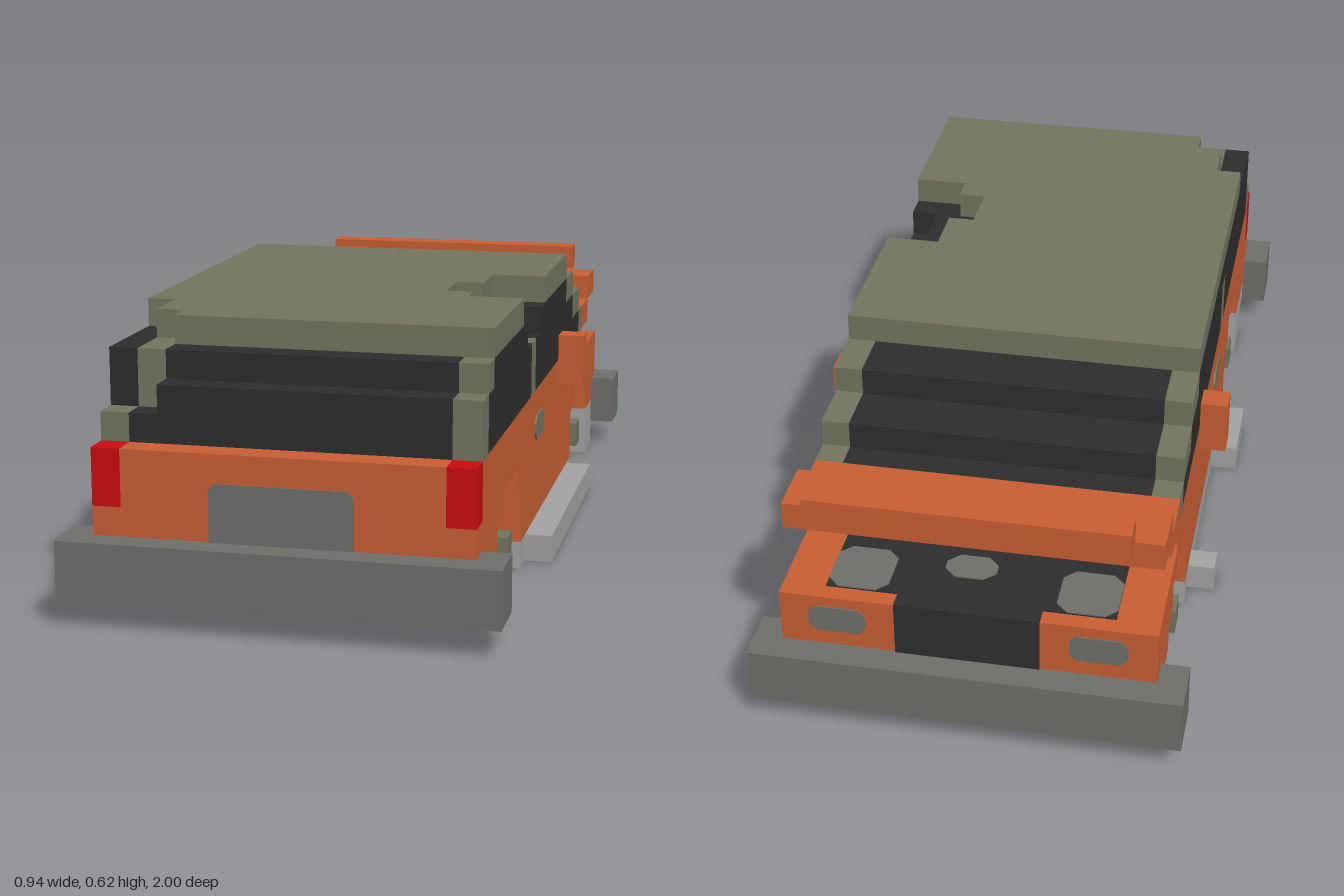
import * as THREE from 'three';

const V = 1 / 16; // one block; all sizes below are in blocks

export function createModel() {
  const car = new THREE.Group();
  car.name = 'blockCar';
  const mat = (name, color) => {
    const m = new THREE.MeshStandardMaterial({ color });
    m.name = name;
    return m;
  };
  const orange = mat('orange paint', 0xc85e33);
  const olive = mat('olive', 0x72755e);
  const dark = mat('dark glass', 0x2d2d2d);
  const grey = mat('bumper grey', 0x6e6e6b);
  const silver = mat('light grey', 0xa3a3a3);
  const red = mat('red lamp', 0xc90c0f);

  const add = (name, m, geo) => {
    const mesh = new THREE.Mesh(geo, m);
    mesh.name = name;
    car.add(mesh);
    return mesh;
  };
  const box = (name, m, x0, x1, y0, y1, z0, z1) => {
    const g = new THREE.BoxGeometry((x1 - x0) * V, (y1 - y0) * V, (z1 - z0) * V);
    g.translate((x0 + x1) / 2 * V, (y0 + y1) / 2 * V, (z0 + z1) / 2 * V);
    return add(name, m, g);
  };
  // same box on both sides of the car
  const pair = (name, m, x0, x1, ...yz) => {
    box(name + 'Left', m, x0, x1, ...yz);
    box(name + 'Right', m, -x1, -x0, ...yz);
  };
  const extrude = (points, depth) => {
    const s = new THREE.Shape(points.map(([a, b]) => new THREE.Vector2(a * V, b * V)));
    return new THREE.ExtrudeGeometry(s, { depth: depth * V, bevelEnabled: false });
  };
  // outline given as (z, y), filling x0 to x1
  const sidePanel = (name, m, points, x0, x1) =>
    add(name, m, extrude(points, x1 - x0).rotateY(-Math.PI / 2).translate(x1 * V, 0, 0));
  // rectangle with clipped corners
  const clipped = (a0, a1, b0, b1, c) => [
    [a0 + c, b0], [a1 - c, b0], [a1, b0 + c], [a1, b1 - c],
    [a1 - c, b1], [a0 + c, b1], [a0, b1 - c], [a0, b0 + c]];

  // underside and chassis
  box('floorPlate', olive, -5.5, 5.5, 0, 0.1, -13, 12);
  box('chassis', silver, -5.5, 5.5, 0.1, 2, -13, 12);
  box('chassisRear', silver, -6.5, 6.5, 0, 2, -14, -13);
  box('chassisFront', silver, -6.5, 6.5, 0, 2, 12, 13);
  box('chassisNose', silver, -6.5, 6.5, 1, 2, 13, 14);
  pair('rearValance', silver, 5.5, 6.5, 0, 2, -13, -12);
  pair('frontValance', silver, 5.5, 6.5, 0, 2, 11, 12);
  pair('sill', silver, 5.5, 6.5, 0, 1, -7, 6);
  box('sideStepLeft', silver, 6.5, 7.5, 0, 1, -6, 5);
  box('sideStepRightRear', silver, -7.5, -6.5, 0, 1, -6, -5);
  box('sideStepRightFront', silver, -7.5, -6.5, 0, 1, 2, 5);

  // bumpers
  box('frontBumper', grey, -7.5, 7.5, 1, 3, 14, 16);
  box('rearBumper', grey, -7.5, 7.5, 1, 3, -16, -14);

  // body core and side panels with stepped wheel arches
  box('bodyCore', orange, -5.5, 5.5, 2, 5, -15, 15);
  box('bodyTop', orange, -5.5, 5.5, 5, 6, -10, 15);
  const outline = [
    [-15, 2], [-12, 2], [-12, 3], [-11, 3], [-11, 4], [-8, 4], [-8, 3], [-7, 3], [-7, 1],
    [6, 1], [6, 3], [7, 3], [7, 4], [10, 4], [10, 3], [11, 3], [11, 2], [15, 2], [15, 4],
    [14, 4], [14, 6], [-10, 6], [-10, 5], [-15, 5]];
  sidePanel('bodySideLeft', orange, outline, 5.5, 6.5);
  sidePanel('bodySideRight', orange, outline, -6.5, -5.5);
  pair('frontLamp', red, 5.5, 6.5, 4, 6, 14, 15);
  pair('mirror', orange, 6.5, 7.5, 5, 7, -4, -3);
  const badge = clipped(1, 3, 4.05, 5, 0.3);
  sidePanel('sideBadgeLeft', olive, badge, 6.5, 6.56);
  sidePanel('sideBadgeRight', olive, badge, -6.56, -6.5);

  // wheels set into the arches
  for (const [end, z] of [['front', 6], ['rear', -12]]) {
    pair(end + 'ArchLower', silver, 5.5, 5.54, 0, 3, z, z + 5);
    pair(end + 'ArchUpper', silver, 5.5, 5.54, 3, 4, z + 1, z + 4);
    pair(end + 'WheelLower', olive, 5.5, 5.6, 0, 2, z, z + 5);
    pair(end + 'WheelUpper', olive, 5.5, 5.6, 2, 3, z + 1, z + 4);
    pair(end + 'Hub', olive, 5.6, 6.5, 1, 2, z + 2, z + 3);
  }
  pair('tyreMarkA', dark, 5.6, 5.65, 1.4, 2, 10.3, 11);
  pair('tyreMarkB', dark, 5.6, 5.65, 1.4, 2, 6, 6.7);
  pair('tyreMarkC', dark, 5.6, 5.65, 1.4, 2.5, -9, -8.3);

  // front plate
  add('frontPlate', grey, extrude(
    [[-2.45, 3], [2.45, 3], [2.45, 4.8], [2.25, 5], [-2.25, 5], [-2.45, 4.8]], 0.05)
    .translate(0, 0, 15 * V));

  // tail panel and engine deck
  box('tailPanel', dark, -2.5, 2.5, 3, 5.05, -15.06, -15);
  for (const s of [1, -1]) {
    add('tailLamp', grey, extrude(clipped(s * 4.5 - 1, s * 4.5 + 1, 3.6, 4.6, 0.25), 0.06)
      .translate(0, 0, -15.06 * V));
  }
  box('engineDeck', dark, -5, 5, 5, 5.05, -14.4, -10);
  box('engineDeckRear', dark, -2.5, 2.5, 5, 5.05, -15, -14.4);
  const patch = (x0, x1, z0, z1) => add('enginePart', grey,
    extrude(clipped(x0, x1, z0, z1, 0.4), 0.05).rotateX(Math.PI / 2).translate(0, 5.1 * V, 0));
  patch(2.9, 5, -14.4, -12.2);
  patch(-5, -2.9, -14.4, -12.2);
  patch(-0.6, 1.2, -13.2, -12);

  // stepped rear wing
  box('wingLower', orange, -6.5, 6.5, 6, 7, -12, -10);
  box('wingMiddle', orange, -6.5, 6.5, 7, 8, -14, -12);
  box('wingTop', orange, -5.5, 5.5, 8, 9, -15, -14);

  // stepped cabin glass between the pillars
  box('glassLow', dark, -5.5, 5.5, 6, 7, -10, 14);
  box('glassMid', dark, -4.5, 5.5, 7, 8, -9, 14);
  box('glassMidCorner', dark, -5.5, -4.5, 7, 8, -9, 12);
  box('glassHigh', dark, -4.5, 5.5, 8, 9, -7, 13);
  box('glassHighCorner', dark, -5.5, -4.5, 8, 9, -7, 11);
  box('innerPillarLow', olive, -5.5, -4.5, 7, 8, 12, 13);
  box('innerPillarHigh', olive, -5.5, -4.5, 8, 9, 11, 13);

  // side windows
  pair('rearSideWindowLow', dark, 5.5, 6.5, 6, 7, -9, 3);
  pair('rearSideWindowMid', dark, 5.5, 6.5, 7, 8, -7, 3);
  pair('frontSideWindow', dark, 5.5, 6.5, 6, 8, 4, 13);
  box('windowTopLeftRear', dark, 5.5, 6.5, 8, 9, -5, 2);
  box('windowTopLeftFront', dark, 5.5, 6.5, 8, 9, 5, 12);
  box('windowTopRight', dark, -6.5, -5.5, 8, 9, -5, 13);

  // pillars
  pair('doorPillar', olive, 5.5, 6.5, 6, 8, 3, 4);
  pair('rearPillarLow', olive, 5.5, 6.5, 6, 7, -10, -9);
  pair('rearPillarMid', olive, 5.5, 6.5, 7, 8, -9, -7);
  pair('rearPillarHigh', olive, 5.5, 6.5, 8, 9, -7, -5);
  pair('frontPillarLow', olive, 5.5, 6.5, 6, 7, 13, 14);
  box('frontPillarMidLeft', olive, 5.5, 6.5, 7, 8, 13, 14);
  box('frontPillarHighLeft', olive, 5.5, 6.5, 8, 9, 12, 13);

  // roof with a side notch and a cut front corner, outline as (x, z)
  add('roof', olive, extrude([
    [-6.5, -5], [6.5, -5], [6.5, 1], [4.5, 1], [4.5, 3], [3.5, 3], [3.5, 5], [4.5, 5],
    [4.5, 6], [6.5, 6], [6.5, 12], [-4.5, 12], [-4.5, 11], [-5.5, 11], [-5.5, 9], [-6.5, 9]], 1)
    .rotateX(Math.PI / 2).translate(0, 10 * V, 0));

  return car;
}
